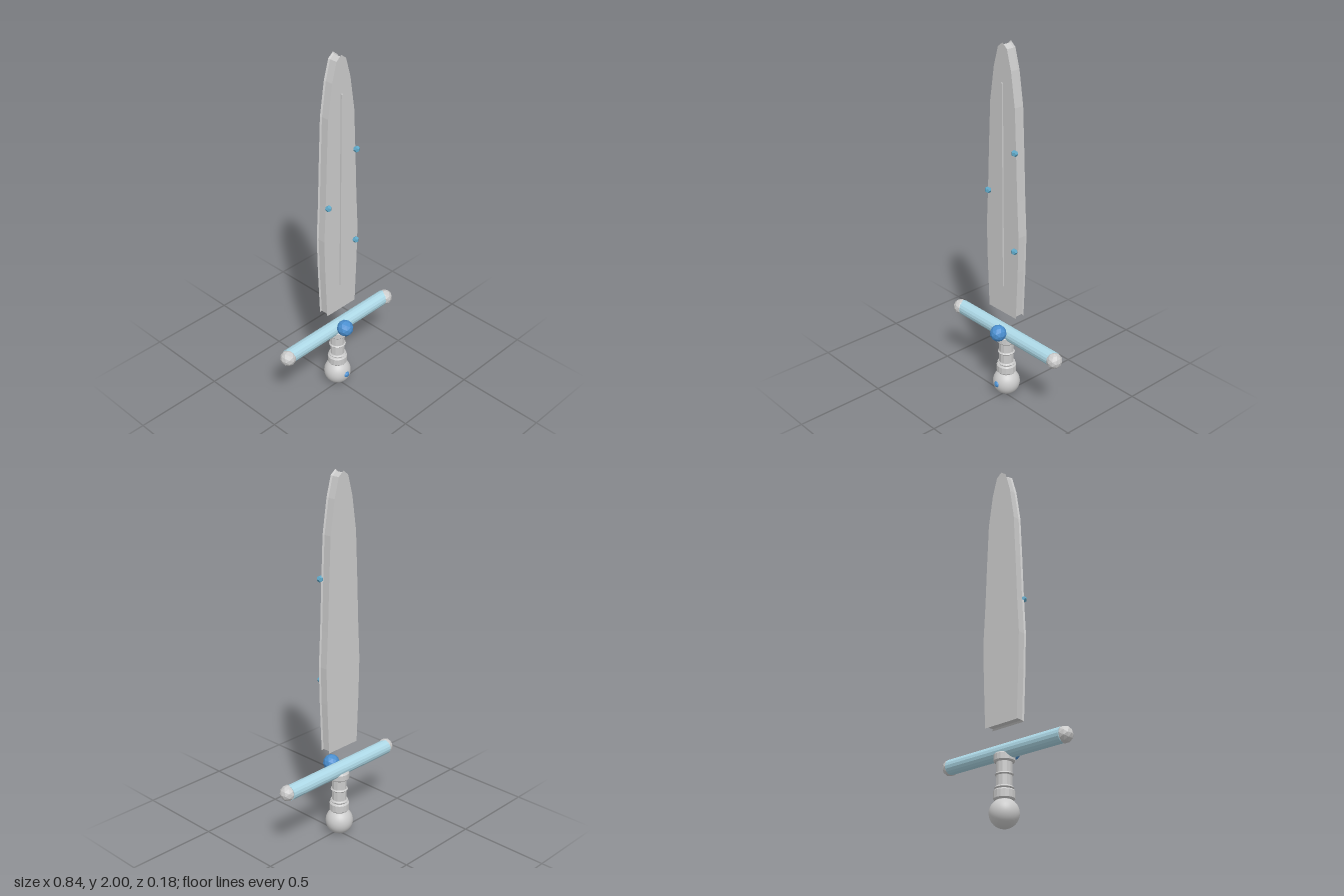
import * as THREE from 'three';

const AXIS_Z = -0.015; // hilt centre line

export function createModel() {
  const sword = new THREE.Group();
  sword.name = 'sword';

  const grey = new THREE.MeshStandardMaterial({ color: 0xcccccc });
  const greyFlat = new THREE.MeshStandardMaterial({ color: 0xcccccc, flatShading: true });
  const paleBlue = new THREE.MeshStandardMaterial({ color: 0xadd8e6, flatShading: true });
  const blue = new THREE.MeshStandardMaterial({ color: 0x4a8fd0, flatShading: true });
  const teal = new THREE.MeshStandardMaterial({ color: 0x5fa8c8, flatShading: true });

  const add = (name, geometry, material, x = 0, y = 0, z = 0) => {
    const mesh = new THREE.Mesh(geometry, material);
    mesh.name = name;
    mesh.position.set(x, y, z);
    sword.add(mesh);
    return mesh;
  };

  // Symmetric outline from [half width, height] pairs, bottom to top
  const mirroredShape = (half) => new THREE.Shape([
    ...half.map(([x, y]) => new THREE.Vector2(x, y)),
    ...half.filter(([x]) => x > 0).reverse().map(([x, y]) => new THREE.Vector2(-x, y)),
  ]);

  // Blade: leaf outline, side walls set in slightly between the two faces
  const bladeShape = mirroredShape([
    [0.105, 0.525], [0.117, 0.8], [0.122, 1.0], [0.111, 1.2], [0.101, 1.45],
    [0.09, 1.69], [0.062, 1.87], [0.032, 1.975], [0, 2.0],
  ]);
  add('blade', new THREE.ExtrudeGeometry(bladeShape, {
    depth: 0.043, bevelEnabled: true, bevelThickness: 0.006,
    bevelSize: -0.008, bevelSegments: 1,
  }), greyFlat, 0, 0, -0.036);

  // Raised ridge down the front face
  const ridgeShape = mirroredShape([[0.012, 0.685], [0.008, 1.3], [0.005, 1.8]]);
  add('bladeRidge', new THREE.ExtrudeGeometry(ridgeShape, {
    depth: 0.012, bevelEnabled: false,
  }), greyFlat, 0, 0, 0.009);

  // Small studs along the blade edges
  for (const [x, y] of [[0.1, 1.465], [-0.1, 1.205], [0.1, 0.925]]) {
    add('bladeStud', new THREE.DodecahedronGeometry(0.018), teal, x, y, 0.022);
  }

  // Crossguard bar with faceted end knobs
  const bar = new THREE.CylinderGeometry(0.04, 0.04, 0.74, 16).rotateZ(Math.PI / 2);
  add('crossguard', bar, paleBlue, 0, 0.386, AXIS_Z);
  for (const side of [-1, 1]) {
    add('guardKnob', new THREE.IcosahedronGeometry(0.043, 1), greyFlat, side * 0.375, 0.386, -0.009);
  }
  add('guardGem', new THREE.IcosahedronGeometry(0.046, 1), blue, 0, 0.403, 0.044);

  // Grip with collars and rings
  add('grip', new THREE.CylinderGeometry(0.041, 0.041, 0.25, 12), greyFlat, 0, 0.245, AXIS_Z);
  const collarProfile = (r, h) => [
    [0, -h / 2], [r - 0.006, -h / 2], [r, -h / 2 + 0.007],
    [r, h / 2 - 0.007], [r - 0.006, h / 2], [0, h / 2],
  ].map(([x, y]) => new THREE.Vector2(x, y));
  for (const [name, r, h, y] of [
    ['lowerCollar', 0.054, 0.052, 0.165],
    ['lowerRing', 0.049, 0.016, 0.2],
    ['middleRing', 0.047, 0.014, 0.268],
    ['upperCollar', 0.054, 0.045, 0.352],
  ]) {
    add(name, new THREE.LatheGeometry(collarProfile(r, h), 16), greyFlat, 0, y, AXIS_Z);
  }

  // Pommel with a small gem on the front
  add('pommel', new THREE.SphereGeometry(0.075, 32, 24), grey, 0, 0.075, AXIS_Z);
  add('pommelGem', new THREE.IcosahedronGeometry(0.02, 1), blue, 0, 0.08, 0.049);

  return sword;
}
